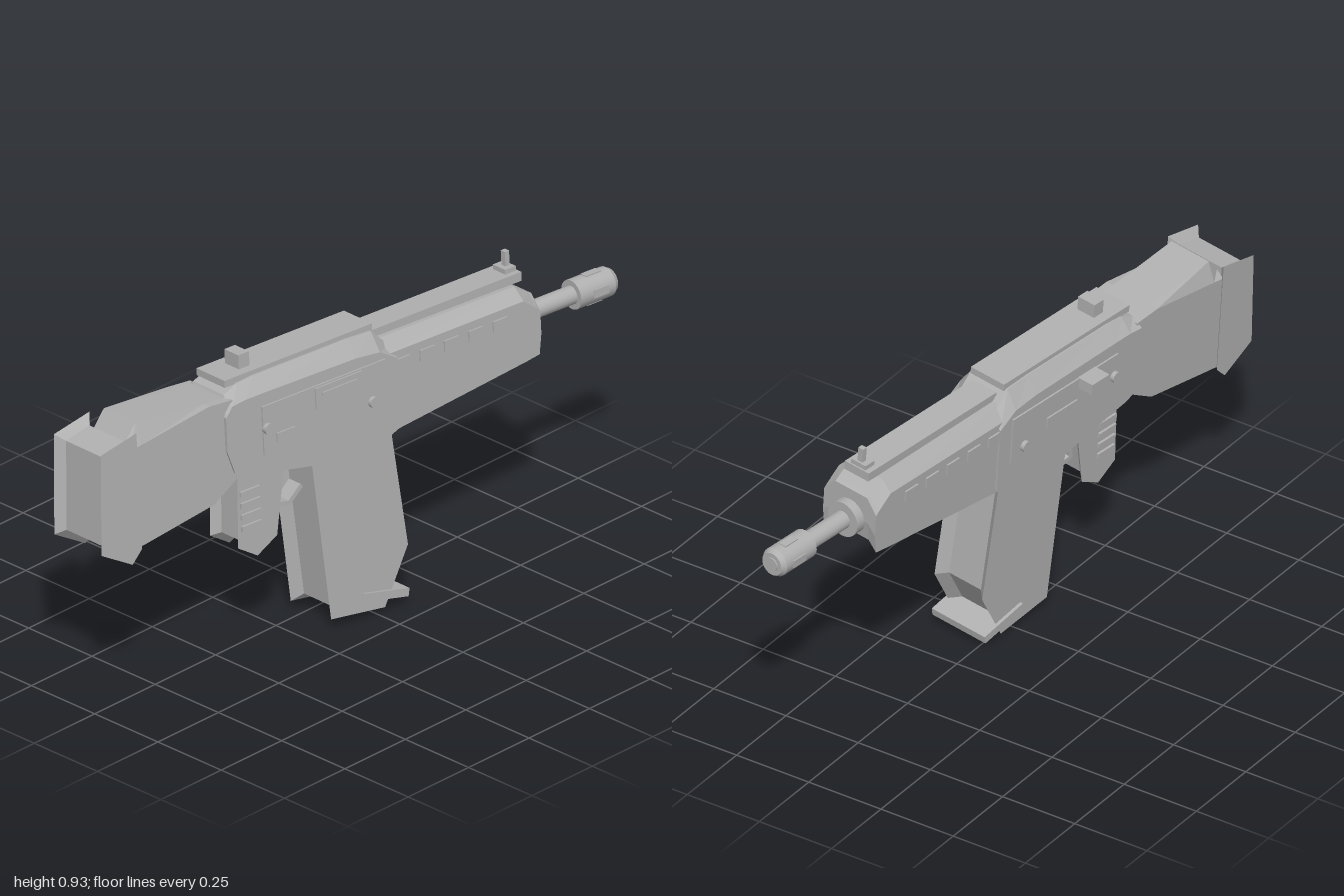
import * as THREE from 'three';

// Profiles use u = distance toward the muzzle (-z) and v = height.
const steel = new THREE.MeshStandardMaterial({ color: 0xb0b0b0 });
steel.name = 'plain grey';

export function createModel() {
  const model = new THREE.Group();
  model.name = 'sciFiRifle';
  const body = new THREE.Group();
  body.name = 'rifleBody';
  body.position.y = -0.7;
  model.add(body);

  const add = (name, geo) => {
    const mesh = new THREE.Mesh(geo, steel);
    mesh.name = name;
    body.add(mesh);
    return mesh;
  };

  // Box placed by its centre (x, v, u) and size (x, v, u)
  const box = (name, x, v, u, sx, sv, su, tilt = 0) => {
    const mesh = add(name, new THREE.BoxGeometry(sx, sv, su));
    mesh.position.set(x, v, -u);
    mesh.rotation.x = tilt;
    return mesh;
  };

  // Flat strip between two profile points
  const bar = (name, [u1, v1], [u2, v2], width, thick) =>
    box(name, 0, (v1 + v2) / 2, (u1 + u2) / 2, width, thick,
      Math.hypot(u2 - u1, v2 - v1) + thick * 0.6, Math.atan2(v2 - v1, u2 - u1));

  // Slab whose two side plates flare out past a recessed middle
  const slab = (name, points, width, flare, rim) => {
    const shape = new THREE.Shape(points.map(p => new THREE.Vector2(...p)));
    const geo = new THREE.ExtrudeGeometry(shape, {
      depth: width - 2 * rim, bevelEnabled: true, bevelSegments: 1,
      bevelThickness: rim, bevelSize: -flare,
    });
    geo.translate(0, 0, rim - width / 2).rotateY(Math.PI / 2);
    return add(name, geo);
  };

  // Chamfered hull through stations [u, bottom, shoulder, top]
  const hull = (name, stations, w, wt, rim = 0.03) => {
    const loops = stations.map(([u, b, s, t]) => [
      [-w, b], [-w + rim, b + rim], [w - rim, b + rim], [w, b],
      [w, s], [wt, t], [-wt, t], [-w, s],
    ].map(([x, y]) => [x, y, -u]));
    const pos = [];
    const tri = (...corners) => corners.forEach(c => pos.push(...c));
    for (let i = 0; i < loops.length - 1; i++) {
      for (let j = 0; j < 8; j++) {
        const k = (j + 1) % 8;
        const [a, b, c, d] = [loops[i][j], loops[i][k], loops[i + 1][k], loops[i + 1][j]];
        tri(a, d, c);
        tri(a, c, b);
      }
    }
    const first = loops[0], last = loops[loops.length - 1];
    for (let j = 1; j < 7; j++) {
      const p = (6 + j) % 8, q = (7 + j) % 8;
      tri(first[6], first[p], first[q]);
      tri(last[6], last[q], last[p]);
    }
    const geo = new THREE.BufferGeometry();
    geo.setAttribute('position', new THREE.Float32BufferAttribute(pos, 3));
    geo.computeVertexNormals();
    return add(name, geo);
  };

  // Round part along the barrel axis
  const round = (name, u1, u2, r1, r2 = r1) => {
    const geo = new THREE.CylinderGeometry(r2, r1, u2 - u1, 24).rotateX(-Math.PI / 2);
    add(name, geo).position.set(0, 0.695, -(u1 + u2) / 2);
  };

  // Main hulls
  hull('stock', [
    [-0.86, 0.49, 0.80, 0.82], [-0.82, 0.495, 0.806, 0.868],
    [-0.567, 0.533, 0.842, 0.843], [-0.48, 0.585, 0.835, 0.836],
  ], 0.095, 0.07);
  hull('receiver', [
    [-0.515, 0.68, 0.79, 0.80], [-0.49, 0.605, 0.82, 0.845], [-0.44, 0.585, 0.825, 0.865],
    [-0.38, 0.575, 0.825, 0.87], [-0.03, 0.505, 0.82, 0.87], [0.06, 0.53, 0.81, 0.865],
    [0.125, 0.555, 0.77, 0.80],
  ], 0.105, 0.068);
  hull('foreEnd', [
    [0.05, 0.54, 0.79, 0.83], [0.6, 0.6, 0.79, 0.825], [0.65, 0.607, 0.75, 0.79],
    [0.66, 0.67, 0.74, 0.785],
  ], 0.098, 0.06);
  slab('buttPad', [
    [-0.98, 0.827], [-0.846, 0.854], [-0.846, 0.49], [-0.883, 0.452], [-0.996, 0.517],
  ], 0.21, 0.025, 0.025);

  // Magazine with its foot plate
  slab('magazine', [
    [-0.2, 0.57], [-0.155, 0.035], [0.045, 0.008], [0.14, 0.175], [0.095, 0.58],
  ], 0.18, 0.028, 0.03);
  bar('magazineFoot', [-0.03, 0.065], [0.12, 0.033], 0.2, 0.025);

  // Grip, trigger and guard
  slab('grip', [
    [-0.45, 0.59], [-0.46, 0.35], [-0.39, 0.305], [-0.315, 0.345], [-0.27, 0.59],
  ], 0.125, 0.022, 0.025);
  const guard = [[-0.285, 0.54], [-0.305, 0.42], [-0.235, 0.407], [-0.19, 0.445]];
  for (let i = 0; i < 3; i++) bar('triggerGuard', guard[i], guard[i + 1], 0.05, 0.015);
  bar('trigger', [-0.27, 0.445], [-0.235, 0.54], 0.025, 0.02);

  // Barrel and muzzle
  round('barrelCollar', 0.63, 0.69, 0.056);
  round('barrel', 0.66, 0.87, 0.028);
  round('muzzle', 0.855, 0.985, 0.045);
  round('muzzleTip', 0.985, 1.0, 0.045, 0.036);
  round('boreRim', 0.99, 1.004, 0.022);
  for (const s of [-1, 1]) {
    box('muzzleSlot', s * 0.043, 0.695, 0.93, 0.008, 0.025, 0.055);
    box('muzzleSlot', 0, 0.695 + s * 0.043, 0.93, 0.025, 0.008, 0.055);
  }

  // Top rails and sights
  box('receiverRail', 0, 0.873, -0.205, 0.125, 0.022, 0.55);
  box('foreRail', 0, 0.839, 0.36, 0.09, 0.028, 0.56);
  box('rearSight', 0, 0.903, -0.38, 0.062, 0.05, 0.04);
  box('frontSightBase', 0, 0.845, 0.615, 0.055, 0.045, 0.04);
  box('frontSightPost', 0, 0.885, 0.62, 0.018, 0.055, 0.016);

  // Details on both sides
  for (const s of [-1, 1]) {
    box('sidePanel', s * 0.106, 0.708, -0.155, 0.009, 0.155, 0.46);
    for (const [u, v] of [[-0.37, 0.715], [0.02, 0.67]]) {
      const geo = new THREE.CylinderGeometry(0.017, 0.017, 0.018, 16).rotateZ(Math.PI / 2);
      add('panelScrew', geo).position.set(s * 0.114, v, -u);
    }
    for (let i = 0; i < 5; i++) {
      box('foreEndVent', s * 0.099, 0.748, 0.145 + 0.091 * i, 0.009, 0.034, 0.053);
    }
    for (let i = 0; i < 4; i++) {
      box('gripRib', s * 0.063, 0.515 - 0.036 * i, -0.41, 0.014, 0.016, 0.072);
    }
  }
  box('ejectionFrame', 0.111, 0.748, -0.103, 0.009, 0.065, 0.175);
  box('ejectionBar', 0.116, 0.758, -0.103, 0.008, 0.01, 0.13);
  box('selectorPlate', 0.111, 0.675, -0.305, 0.009, 0.028, 0.068);
  box('leftPlate', -0.111, 0.7, -0.14, 0.009, 0.035, 0.13);
  box('chargingHandle', -0.13, 0.77, -0.25, 0.06, 0.035, 0.075);

  // The whole rifle rests slightly turned and rolled
  model.rotation.set(0, -0.11, 0.07);
  model.position.set(0.022, 0.7, 0);
  const root = new THREE.Group();
  root.name = 'rifle';
  root.add(model);
  return root;
}
